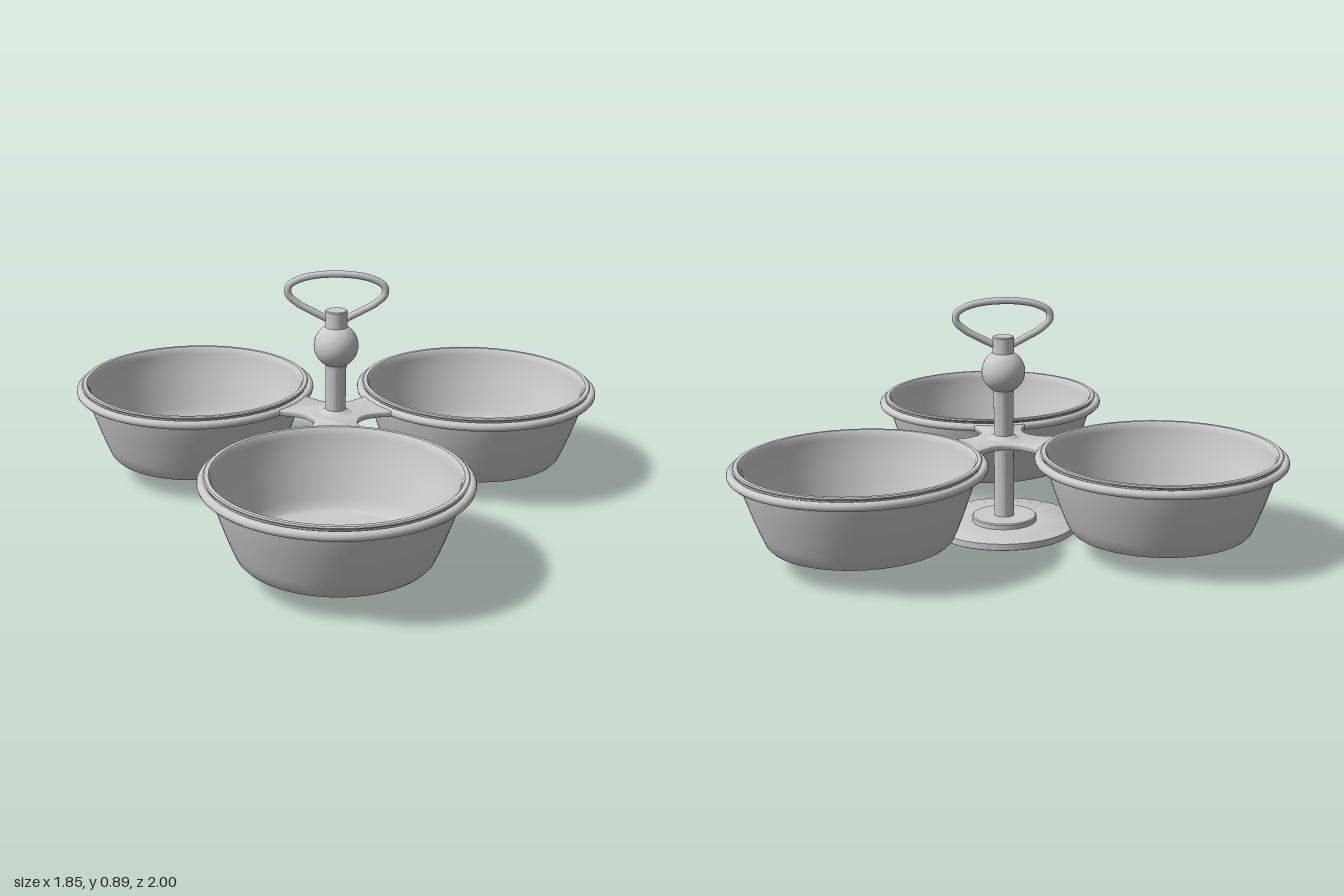
import * as THREE from 'three';
import { toCreasedNormals } from 'three/addons/utils/BufferGeometryUtils.js';

const material = new THREE.MeshStandardMaterial({ color: 0xcccccc });
const AXIS_X = 0.157; // post position
const REACH = 0.625; // post to bowl centre
const BOWL_ANGLES = [Math.PI / 3, Math.PI, -Math.PI / 3];

function part(name, geometry) {
  const mesh = new THREE.Mesh(geometry, material);
  mesh.name = name;
  return mesh;
}

// Turned part from [radius, height] pairs, listed up the outside
function turned(name, profile, segments = 64) {
  const points = profile.map(([r, y]) => new THREE.Vector2(r, y));
  return part(name, toCreasedNormals(new THREE.LatheGeometry(points, segments), 0.6));
}

function createBowl() {
  const bowl = new THREE.Group();
  bowl.name = 'bowl';
  bowl.add(turned('dish', [
    [0, 0.08], [0.31, 0.08], [0.324, 0.083], [0.334, 0.093], [0.352, 0.135],
    [0.373, 0.19], [0.392, 0.245], [0.408, 0.295], [0.42, 0.345], [0.423, 0.36],
    [0.434, 0.364], [0.436, 0.369], [0.432, 0.373], [0.418, 0.373],
    [0.411, 0.365], [0.408, 0.345], [0.396, 0.295], [0.38, 0.245],
    [0.361, 0.19], [0.341, 0.135], [0.328, 0.105], [0.318, 0.096],
    [0.3, 0.092], [0, 0.092],
  ], 80));
  // Carrying ring under the lip
  const ring = part('carryingRing', new THREE.TorusGeometry(0.441, 0.016, 12, 80));
  ring.rotation.x = Math.PI / 2;
  ring.position.y = 0.345;
  bowl.add(ring);
  return bowl;
}

// Three-armed plate with concave sides between the arms
function createBracket() {
  const shape = new THREE.Shape();
  const end = Math.hypot(0.195, 0.1);
  const spread = Math.atan2(0.1, 0.195);
  const at = (r, a) => [r * Math.cos(a), r * Math.sin(a)];
  for (let i = 0; i < 3; i++) {
    const a = Math.PI / 3 + (i * Math.PI * 2) / 3;
    if (i === 0) shape.moveTo(...at(end, a - spread));
    else shape.lineTo(...at(end, a - spread));
    shape.lineTo(...at(end, a + spread));
    shape.quadraticCurveTo(...at(0.016, a + Math.PI / 3),
      ...at(end, a + (Math.PI * 2) / 3 - spread));
  }
  const geometry = new THREE.ExtrudeGeometry(shape, {
    depth: 0.012, curveSegments: 20,
    bevelEnabled: true, bevelThickness: 0.005, bevelSize: 0.004, bevelSegments: 3,
  });
  geometry.rotateX(-Math.PI / 2);
  geometry.translate(0, 0.338, 0);
  return part('bracket', toCreasedNormals(geometry, 0.7));
}

// Rounded triangular loop rising from the top of the post
function createHandle() {
  const half = [[0.03, 0.708], [0.085, 0.737], [0.14, 0.768], [0.173, 0.802],
    [0.17, 0.832], [0.13, 0.857], [0.07, 0.871]];
  const points = [
    ...half.map(([x, y]) => new THREE.Vector3(x, y, 0)),
    new THREE.Vector3(0, 0.875, 0),
    ...half.slice().reverse().map(([x, y]) => new THREE.Vector3(-x, y, 0)),
  ];
  const curve = new THREE.CatmullRomCurve3(points);
  const handle = part('handle', new THREE.TubeGeometry(curve, 96, 0.013, 12));
  handle.rotation.y = Math.PI / 6;
  return handle;
}

export function createModel() {
  const model = new THREE.Group();
  model.name = 'servingStand';
  const stand = new THREE.Group();
  stand.name = 'stand';
  stand.position.x = AXIS_X;
  model.add(stand);

  // Stepped foot, recessed below with a central bore
  stand.add(turned('foot', [
    [0.035, 0.12], [0.035, 0.02], [0.12, 0.02], [0.12, 0], [0.27, 0],
    [0.275, 0.003], [0.275, 0.027], [0.27, 0.03], [0.122, 0.03],
    [0.122, 0.047], [0.118, 0.051], [0.036, 0.051],
  ]));

  // Post with a round knob and a collar on top
  const knob = [];
  for (let i = 0; i <= 16; i++) {
    const a = -1.05 + (i / 16) * 2.1;
    knob.push([0.081 * Math.cos(a), 0.61 + 0.081 * Math.sin(a)]);
  }
  stand.add(turned('post', [
    [0.037, 0.045], [0.037, 0.52], [0.039, 0.532], ...knob,
    [0.04, 0.69], [0.04, 0.738], [0.037, 0.742], [0, 0.742],
  ], 40));

  // Hub flaring onto the bracket
  stand.add(turned('hub', [
    [0.037, 0.322], [0.05, 0.328], [0.068, 0.335], [0.068, 0.353],
    [0.05, 0.358], [0.037, 0.368],
  ], 40));
  stand.add(createBracket(), createHandle());

  for (const angle of BOWL_ANGLES) {
    const bowl = createBowl();
    bowl.position.set(AXIS_X + REACH * Math.cos(angle), 0, REACH * Math.sin(angle));
    model.add(bowl);
  }
  return model;
}
